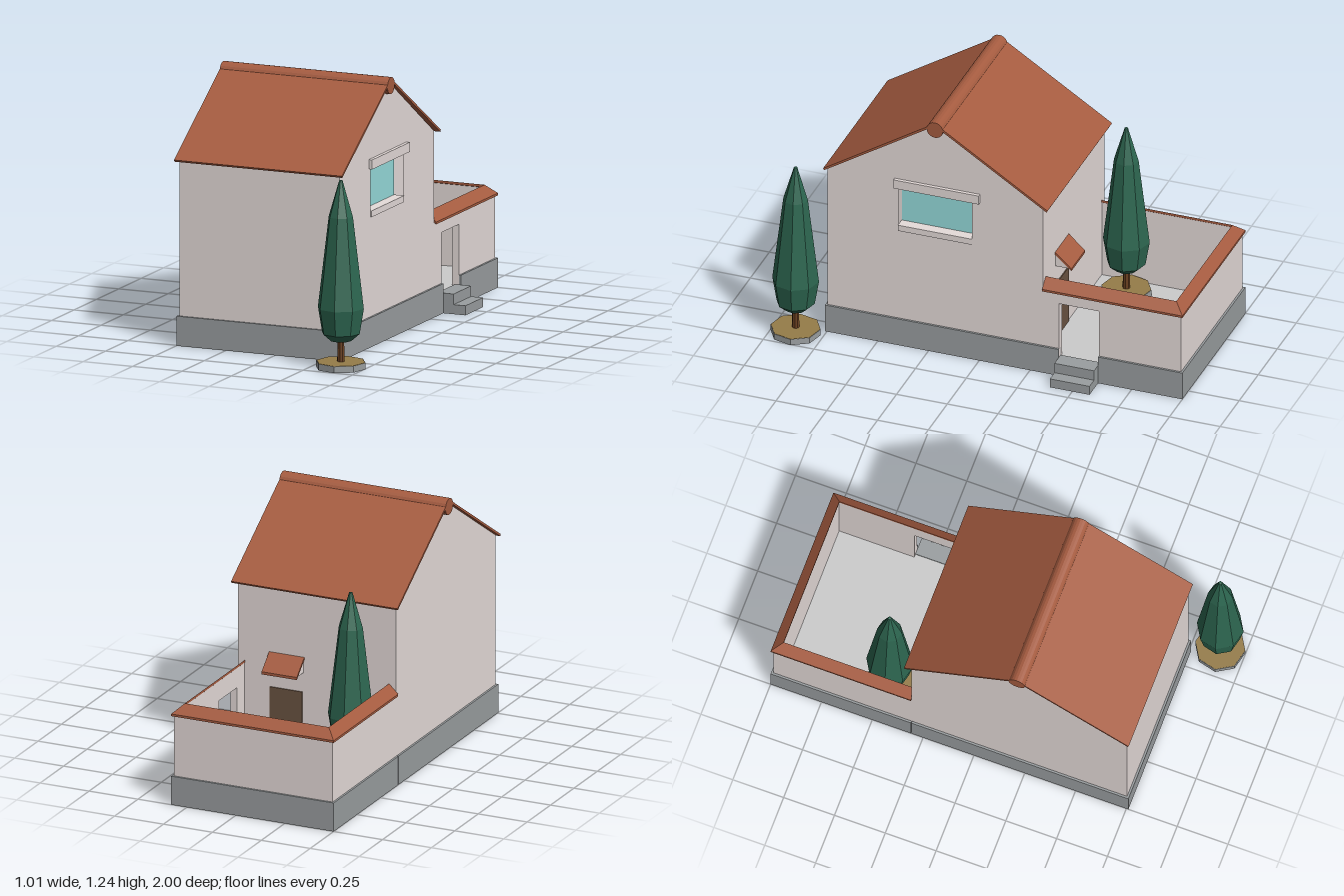
import * as THREE from 'three';

const mat = (color) => new THREE.MeshStandardMaterial({ color, flatShading: true });
const M = {
  wall: mat(0xe6dcda), stone: mat(0x9a9ea0), floor: mat(0xcccccc), roof: mat(0xa65c40),
  glass: mat(0x96dcdc), door: mat(0x6b5442), leaf: mat(0x2d6650), trunk: mat(0x6a4020), soil: mat(0x957c48),
};

function add(parent, name, geometry, material) {
  const mesh = new THREE.Mesh(geometry, material);
  mesh.name = name;
  parent.add(mesh);
  return mesh;
}

// Box given by its limits on each axis
function box(x0, x1, y0, y1, z0, z1) {
  return new THREE.BoxGeometry(x1 - x0, y1 - y0, z1 - z0)
    .translate((x0 + x1) / 2, (y0 + y1) / 2, (z0 + z1) / 2);
}

// Side profile of [z, y] points pushed along x, with an optional hole
function extrudeX(profile, x0, x1, hole) {
  const toVec = ([z, y]) => new THREE.Vector2(-z, y);
  const shape = new THREE.Shape(profile.map(toVec));
  if (hole) shape.holes.push(new THREE.Path(hole.map(toVec)));
  return new THREE.ExtrudeGeometry(shape, { depth: x1 - x0, bevelEnabled: false })
    .rotateY(Math.PI / 2).translate(x0, 0, 0);
}

// Convex section of [inset, y] points swept through stations with mitred corners
function sweep(section, stations) {
  const n = section.length;
  const rings = stations.map((at) => section.map(([d, y]) => {
    const [x, z] = at(d);
    return [x, y, z];
  }));
  const pos = [];
  const tri = (a, b, c) => pos.push(...a, ...b, ...c);
  for (let i = 0; i < rings.length - 1; i++) {
    const a = rings[i], b = rings[i + 1];
    for (let j = 0; j < n; j++) {
      const k = (j + 1) % n;
      tri(a[k], a[j], b[j]);
      tri(a[k], b[j], b[k]);
    }
  }
  const first = rings[0], last = rings[rings.length - 1];
  for (let j = 1; j < n - 1; j++) {
    tri(first[0], first[j], first[j + 1]);
    tri(last[0], last[j + 1], last[j]);
  }
  const g = new THREE.BufferGeometry();
  g.setAttribute('position', new THREE.Float32BufferAttribute(pos, 3));
  g.computeVertexNormals();
  return g;
}

// Outer wall limits and the gate opening in the courtyard
const X0 = -0.49, X1 = 0.32, BACK = -0.99, HOUSE = -0.31, GATE0 = -0.585, GATE1 = -0.39;
const courtPath = (zEnd) => [
  (d) => [X0 + d, HOUSE], (d) => [X0 + d, BACK + d],
  (d) => [X1 - d, BACK + d], (d) => [X1 - d, zEnd],
];
const sidePath = (z0, z1) => [(d) => [X1 - d, z0], (d) => [X1 - d, z1]];

function createHouse() {
  const g = new THREE.Group();
  g.name = 'house';
  const gable = [[0.75, 0.05], [0.75, 0.875], [0.215, 1.218], [-0.31, 0.875], [-0.31, 0.05]];
  const opening = [[0.04, 0.61], [0.40, 0.61], [0.40, 0.84], [0.04, 0.84]];
  add(g, 'houseBody', extrudeX(gable, X0, 0.27), M.wall);
  add(g, 'windowWall', extrudeX(gable, 0.27, X1, opening), M.wall);
  add(g, 'housePlinth', box(-0.5, 0.33, 0, 0.14, -0.308, 0.76), M.stone);

  // Thin pitched roof with a rounded ridge
  const roof = [[0.765, 0.877], [0.215, 1.23], [-0.34, 0.877], [-0.335, 0.868], [0.215, 1.217], [0.76, 0.868]];
  add(g, 'roof', extrudeX(roof, -0.51, 0.34), M.roof);
  add(g, 'ridgeCap', new THREE.CylinderGeometry(0.04, 0.04, 0.85, 20)
    .rotateZ(Math.PI / 2).translate(-0.085, 1.195, 0.215), M.roof);

  // Side window
  add(g, 'windowGlass', box(0.268, 0.275, 0.62, 0.84, 0.04, 0.40), M.glass);
  add(g, 'windowSill', box(0.27, 0.326, 0.61, 0.64, 0.038, 0.402), M.wall);
  add(g, 'windowLintel', box(0.31, 0.337, 0.84, 0.885, 0.0, 0.42), M.wall);

  // Back door with a small canopy on two cheeks
  add(g, 'backDoor', box(-0.01, 0.155, 0.09, 0.38, -0.315, -0.305), M.door);
  const canopy = [[-0.305, 0.555], [-0.39, 0.478], [-0.39, 0.465], [-0.305, 0.542]];
  add(g, 'doorCanopy', extrudeX(canopy, -0.02, 0.16), M.roof);
  const cheek = [[-0.305, 0.542], [-0.38, 0.474], [-0.305, 0.474]];
  for (const x of [-0.015, 0.135]) add(g, 'canopyCheek', extrudeX(cheek, x, x + 0.02), M.wall);
  return g;
}

function createCourtyard() {
  const g = new THREE.Group();
  g.name = 'courtyard';
  const wall = [[0, 0.05], [0.035, 0.05], [0.035, 0.478], [0, 0.44]];
  const overGate = [[0, 0.38], [0.035, 0.38], [0.035, 0.478], [0, 0.44]];
  const plinth = [[-0.01, 0], [0.02, 0], [0.02, 0.14], [-0.01, 0.14]];
  const coping = [[-0.01, 0.435], [0.037, 0.478], [0.037, 0.49], [-0.01, 0.446]];
  add(g, 'courtyardWall', sweep(wall, courtPath(GATE0)), M.wall);
  add(g, 'gateSideWall', sweep(wall, sidePath(GATE1, HOUSE)), M.wall);
  add(g, 'gateLintel', sweep(overGate, sidePath(GATE0, GATE1)), M.wall);
  add(g, 'courtyardPlinth', sweep(plinth, courtPath(GATE0)), M.stone);
  add(g, 'gateSidePlinth', sweep(plinth, sidePath(GATE1, HOUSE)), M.stone);
  add(g, 'wallCoping', sweep(coping, courtPath(HOUSE)), M.roof);
  add(g, 'courtyardFloor', box(X0 + 0.002, X1 - 0.002, 0.001, 0.09, BACK + 0.002, HOUSE), M.floor);

  // Two steps up to the gate
  add(g, 'upperStep', box(0.3, 0.382, 0, 0.095, GATE0, GATE1), M.stone);
  add(g, 'lowerStep', box(0.38, 0.442, 0, 0.045, GATE0, GATE1), M.stone);
  return g;
}

// Slim eight-sided cypress in a round bed
function createTree(x, y, z) {
  const g = new THREE.Group();
  g.name = 'cypress';
  add(g, 'bedRim', new THREE.CylinderGeometry(0.118, 0.118, 0.03, 8).translate(0, 0.015, 0), M.stone);
  add(g, 'bedSoil', new THREE.CylinderGeometry(0.116, 0.116, 0.02, 8).translate(0, 0.0215, 0), M.soil);
  add(g, 'trunk', new THREE.CylinderGeometry(0.015, 0.018, 0.14, 8).translate(0, 0.09, 0), M.trunk);
  const profile = [[0, 0.13], [0.05, 0.13], [0.09, 0.165], [0.11, 0.285], [0.058, 0.715], [0.008, 0.885], [0, 0.887]];
  add(g, 'foliage', new THREE.LatheGeometry(profile.map(([r, h]) => new THREE.Vector2(r, h)), 8), M.leaf);
  g.position.set(x, y, z);
  g.rotation.y = 0.15;
  return g;
}

export function createModel() {
  const model = new THREE.Group();
  model.name = 'houseWithCourtyard';
  model.add(createHouse(), createCourtyard(), createTree(0.388, 0, 0.882), createTree(-0.337, 0.09, -0.475));
  return model;
}
